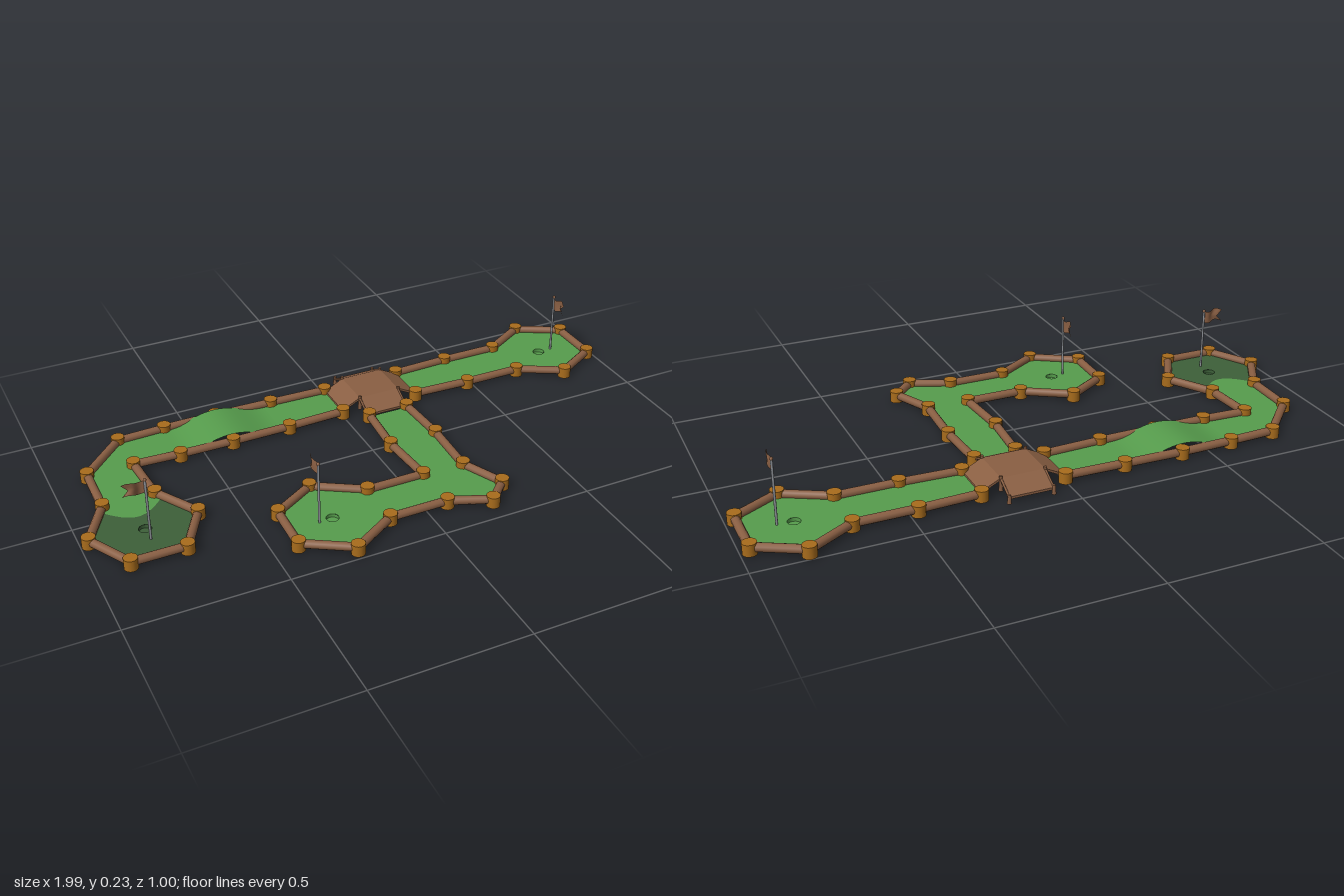
import * as THREE from 'three';

const mat = (name, color, side = THREE.FrontSide) => {
  const m = new THREE.MeshStandardMaterial({ color, side });
  m.name = name;
  return m;
};

export function createModel() {
  const root = new THREE.Group();
  root.name = 'miniGolfCourse';
  const wood = mat('brown wood', 0x8a5f43, THREE.DoubleSide);
  const postWood = mat('golden wood', 0xa86c1c);
  const turf = mat('green turf', 0x569c4c, THREE.DoubleSide);
  const darkTurf = mat('dark turf', 0x3d6039, THREE.DoubleSide);
  const metal = mat('grey metal', 0x8c9096);
  const TURF_Y = 0.015;

  const add = (name, geo, material, x = 0, y = 0, z = 0) => {
    const m = new THREE.Mesh(geo, material);
    m.name = name;
    m.position.set(x, y, z);
    root.add(m);
    return m;
  };

  // Round log between two points
  const log = (name, a, b, r, material, sides = 10) => {
    const d = b.clone().sub(a);
    const m = add(name, new THREE.CylinderGeometry(r, r, d.length(), sides), material);
    m.position.copy(a).add(b).multiplyScalar(0.5);
    m.quaternion.setFromUnitVectors(new THREE.Vector3(0, 1, 0), d.normalize());
    return m;
  };

  // Flat turf panel with an optional cup hole, outline given as [x, z]
  const panel = (name, pts, material, cup) => {
    const s = new THREE.Shape(pts.map(([x, z]) => new THREE.Vector2(x, -z)));
    if (cup) {
      s.holes.push(new THREE.Path().absarc(cup[0], -cup[1], 0.02, 0, Math.PI * 2, true));
      const [x, z] = cup;
      add('cupWall', new THREE.CylinderGeometry(0.02, 0.02, 0.012, 16, 1, true), material, x, TURF_Y - 0.006, z);
      add('cupFloor', new THREE.CircleGeometry(0.02, 16).rotateX(-Math.PI / 2), material, x, TURF_Y - 0.012, z);
    }
    add(name, new THREE.ShapeGeometry(s, 16).rotateX(-Math.PI / 2), material, 0, TURF_Y, 0);
  };

  // Fence of posts and log rails along each lane, as [x, z]
  const leftLane = [
    [0, -0.385], [-0.2, -0.39], [-0.4, -0.395], [-0.58, -0.392], [-0.74, -0.385], [-0.885, -0.235],
    [-0.89, -0.05], [-0.975, 0.1], [-0.893, 0.25], [-0.72, 0.25], [-0.635, 0.1], [-0.723, -0.05],
    [-0.735, -0.23], [-0.58, -0.222], [-0.4, -0.22], [-0.2, -0.222], [0, -0.23]];
  const rightLane = [
    [0.275, -0.385], [0.475, -0.393], [0.675, -0.393], [0.825, -0.48], [0.972, -0.4],
    [0.972, -0.222], [0.825, -0.14], [0.675, -0.222], [0.475, -0.222], [0.275, -0.23]];
  const frontLane = [
    [0.07, -0.17], [0.055, 0.02], [0.07, 0.22], [-0.125, 0.22], [-0.28, 0.125], [-0.42, 0.21],
    [-0.425, 0.38], [-0.275, 0.472], [-0.125, 0.38], [0.07, 0.38], [0.2, 0.435], [0.272, 0.365],
    [0.21, 0.225], [0.22, 0.02], [0.21, -0.17]];
  for (const lane of [leftLane, rightLane, frontLane]) {
    lane.forEach(([x, z], i) => {
      add('fencePost', new THREE.CylinderGeometry(0.022, 0.022, 0.037, 16), postWood, x, 0.0185, z);
      if (i) {
        const [px, pz] = lane[i - 1];
        log('fenceRail', new THREE.Vector3(px, 0.021, pz), new THREE.Vector3(x, 0.021, z), 0.014, wood);
      }
    });
  }

  // Turf of the right and front lanes
  panel('rightTurf', rightLane, turf, [0.82, -0.305]);
  panel('frontTurf', frontLane, turf, [-0.28, 0.3]);

  // Left lane: straight pieces, a humped strip and a corner ending in a rounded tongue
  const x0 = -0.58, x1 = -0.23, za = -0.39, zb = -0.222;
  panel('leftTurfNearBridge', [[0, za], [x1, za], [x1, zb], [0, zb]], turf);
  const hump = new THREE.PlaneGeometry(x1 - x0, zb - za, 32, 1).rotateX(-Math.PI / 2);
  const p = hump.attributes.position;
  for (let i = 0; i < p.count; i++) {
    p.setY(i, 0.032 * Math.cos((p.getX(i) / (x1 - x0)) * Math.PI) ** 2);
  }
  hump.computeVertexNormals();
  add('turfHump', hump, turf, (x0 + x1) / 2, TURF_Y, (za + zb) / 2);
  const arc = [];
  for (let i = 0; i <= 16; i++) {
    const t = i / 16;
    arc.push([-0.9 + 0.19 * t, -0.025 + 0.065 * Math.sin(t * Math.PI)]);
  }
  panel('leftTurfCorner', [[x0, za], [-0.74, -0.385], [-0.885, -0.235], [-0.89, -0.05], ...arc,
    [-0.723, -0.05], [-0.735, -0.23], [x0, zb]], turf);
  panel('darkTurf', [...arc, [-0.635, 0.1], [-0.72, 0.25], [-0.893, 0.25], [-0.975, 0.1]],
    darkTurf, [-0.805, 0.107]);

  // Bridge: a plank deck sloping down on four sides
  const slab = (pts, width) => {
    const t = 0.008;
    const under = pts.map(([u, y]) => [u, y - t]).reverse();
    const s = new THREE.Shape([...pts, ...under].map(([u, y]) => new THREE.Vector2(u, y)));
    return new THREE.ExtrudeGeometry(s, { depth: width, bevelEnabled: false });
  };
  const bx = [0.065, 0.21], bz = [-0.378, -0.235];
  add('bridgeDeck', slab([[0, 0.022], [bx[0], 0.055], [bx[1], 0.055], [0.275, 0.022]], bz[1] - bz[0]),
    wood, 0, 0, bz[0]);
  const ends = [[bz[0], -0.44], [bz[1], -0.175]];
  for (const [top, foot] of ends) {
    // Profile runs along -z once turned to face across the lane
    const ramp = slab([[-top, 0.055], [-foot, 0.022]], bx[1] - bx[0]).rotateY(Math.PI / 2);
    add('bridgeRamp', ramp, wood, bx[0], 0, 0);
    for (const x of bx) {
      log('rampEdge', new THREE.Vector3(x, 0.053, top), new THREE.Vector3(x, 0.02, foot), 0.004, wood, 6);
      add('bridgePeg', new THREE.CylinderGeometry(0.005, 0.007, 0.05, 6), wood, x, 0.037, top);
      add('rampPeg', new THREE.CylinderGeometry(0.005, 0.007, 0.03, 6), wood, x, 0.015, foot);
    }
  }

  // Swallow-tailed flags, rippled across their length
  const flagAt = (x, z, turn) => {
    const g = new THREE.Group();
    g.name = 'flag';
    const pole = new THREE.Mesh(new THREE.CylinderGeometry(0.004, 0.004, 0.21, 8), metal);
    pole.name = 'flagPole';
    pole.position.y = 0.12;
    const knob = new THREE.Mesh(new THREE.SphereGeometry(0.0055, 8, 6), wood);
    knob.name = 'poleKnob';
    knob.position.y = 0.226;
    const cloth = new THREE.PlaneGeometry(0.068, 0.042, 12, 4);
    const q = cloth.attributes.position;
    for (let i = 0; i < q.count; i++) {
      const u = q.getX(i) / 0.068 + 0.5, v = q.getY(i) / 0.021;
      const notch = u * u * 0.02 * (1 - Math.abs(v));
      q.setXYZ(i, 0.003 + u * 0.068 - notch,
        0.204 + v * 0.021 - 0.004 * Math.sin(u * 7), 0.004 * Math.sin(u * 8));
    }
    cloth.computeVertexNormals();
    const banner = new THREE.Mesh(cloth, wood);
    banner.name = 'flagCloth';
    g.add(pole, knob, banner);
    g.position.set(x, 0, z);
    g.rotation.y = turn;
    root.add(g);
  };
  flagAt(-0.805, 0.163, Math.PI);
  flagAt(-0.325, 0.305, Math.PI / 2);
  flagAt(0.87, -0.305, -Math.PI / 2);

  return root;
}
